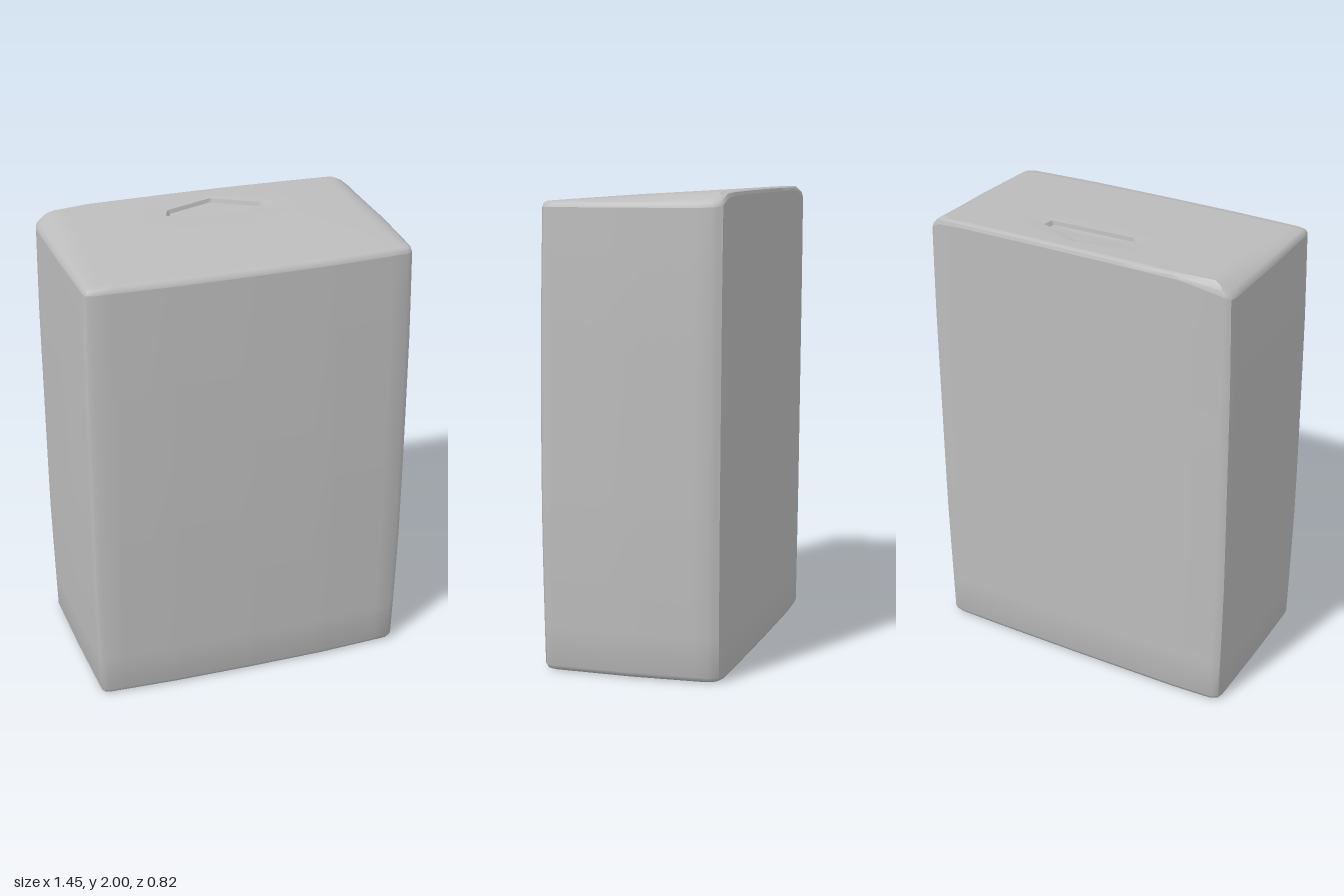
import * as THREE from 'three';
import { toCreasedNormals } from 'three/addons/utils/BufferGeometryUtils.js';

// Plan outline of the carton and of the hand slot, as [x, z]
const OUTLINE = [
  [0.722, 0], [0.712, 0.35], [0.705, 0.375], [0.68, 0.39], [0.35, 0.408], [0, 0.411], [-0.35, 0.408],
  [-0.67, 0.395], [-0.69, 0.385], [-0.698, 0.36], [-0.715, 0], [-0.725, -0.35], [-0.718, -0.385],
  [-0.69, -0.402], [-0.5, -0.411], [0, -0.411], [0.4, -0.407], [0.65, -0.402], [0.69, -0.39], [0.71, -0.35],
];
const SLOT = [[0.24, -0.16], [-0.15, -0.15], [-0.19, -0.2], [-0.17, -0.245], [0.04, -0.31], [0.24, -0.215]];
const CENTRE = [0.03, -0.2];

// Distance from the slot centre to a closed polygon along an angle
function reach(poly, angle) {
  const dx = Math.cos(angle), dz = Math.sin(angle);
  let best = 0;
  poly.forEach(([x1, z1], i) => {
    const [x2, z2] = poly[(i + 1) % poly.length];
    const ex = x2 - x1, ez = z2 - z1, px = x1 - CENTRE[0], pz = z1 - CENTRE[1];
    const det = dx * ez - dz * ex;
    if (Math.abs(det) < 1e-9) return;
    const r = (px * ez - pz * ex) / det, t = (px * dz - pz * dx) / det;
    if (r > 0 && t >= -1e-6 && t <= 1 + 1e-6) best = Math.max(best, r);
  });
  return best;
}

// Lid height: rises towards the back, crowned in x, dropping at the side folds
function lidHeight(x, z) {
  const rise = THREE.MathUtils.clamp((0.4 - z) / 0.8, 0, 1);
  const fold = THREE.MathUtils.smoothstep(0.72 - Math.abs(x), 0, 0.09);
  return 1.95 + rise * (0.008 + 0.042 * fold - 0.012 * x * x);
}

// Joins rings of points, bottom to top, into one skin
function loft(rings) {
  const n = rings[0].length, index = [];
  for (let j = 0; j < rings.length - 1; j++) {
    for (let i = 0; i < n; i++) {
      const a = j * n + i, b = j * n + (i + 1) % n, d = a + n, e = b + n;
      index.push(a, d, b, b, d, e);
    }
  }
  const geo = new THREE.BufferGeometry();
  geo.setAttribute('position', new THREE.Float32BufferAttribute(rings.flat(2), 3));
  geo.setIndex(index);
  return toCreasedNormals(geo, 0.7);
}

export function createModel() {
  const group = new THREE.Group();
  group.name = 'carton';
  const card = new THREE.MeshStandardMaterial({ color: 0xbcbcbc });
  card.name = 'grey card';

  // Angles through every corner plus an even spread
  const angles = [...OUTLINE, ...SLOT].map(([x, z]) => Math.atan2(z - CENTRE[1], x - CENTRE[0]));
  for (let i = 0; i < 48; i++) angles.push(-Math.PI + 0.013 + i * Math.PI / 24);
  angles.sort((a, b) => a - b);
  const plan = angles.map((a) => {
    const at = (r) => [CENTRE[0] + Math.cos(a) * r, CENTRE[1] + Math.sin(a) * r];
    return { edge: at(reach(OUTLINE, a)), slot: at(reach(SLOT, a)) };
  });

  // Wall ring at fraction t of the height, slightly bulged and leaning
  const wall = (t, inset) => plan.map(({ edge: [x, z] }) => {
    const bulge = Math.sin(Math.PI * t);
    const sx = 0.982 + 0.018 * Math.min(1, bulge + 0.5 * t) - inset / 0.72;
    const sz = (z > 0 ? 0.975 + 0.025 * bulge - 0.02 * t : 0.965 + 0.035 * t) - inset / 0.41;
    return [x * sx, t * (lidHeight(x, z) - 0.022), z * sz];
  });
  // Lid ring part way from the top edge to the slot
  const top = wall(1, 0);
  const lid = (t, inset, drop) => plan.map(({ slot }, i) => {
    const ex = top[i][0] * (1 - inset / 0.72), ez = top[i][2] * (1 - inset / 0.41);
    const x = ex + (slot[0] - ex) * t, z = ez + (slot[1] - ez) * t;
    return [x, lidHeight(x, z) - drop, z];
  });
  // Recess ring inside the slot
  const recess = (scale, depth) => plan.map(({ slot: [x, z] }) => [
    CENTRE[0] + (x - CENTRE[0]) * scale, lidHeight(x, z) - depth, CENTRE[1] + (z - CENTRE[1]) * scale,
  ]);

  const floor = plan.map(() => [0, 0, 0]);
  const walls = [floor, wall(0, 0.02), wall(0.004, 0.006), wall(0.012, 0)];
  for (let i = 1; i <= 10; i++) walls.push(wall(i / 10, 0));
  const body = new THREE.Mesh(loft(walls), card);
  body.name = 'body';

  const lidRings = [top, lid(0, 0.005, 0.008), lid(0, 0.018, 0)];
  for (const t of [0.06, 0.12, 0.2, 0.35, 0.5, 0.7, 0.88]) lidRings.push(lid(t, 0.018, 0));
  lidRings.push(lid(1, 0.018, 0.003));
  const lidMesh = new THREE.Mesh(loft(lidRings), card);
  lidMesh.name = 'lid';

  // Shallow hand slot pressed into the lid
  const pole = plan.map(() => [CENTRE[0], lidHeight(...CENTRE) - 0.022, CENTRE[1]]);
  const slot = new THREE.Mesh(loft([recess(1, 0.003), recess(0.95, 0.02), recess(0.5, 0.022), pole]), card);
  slot.name = 'handSlot';

  group.add(body, lidMesh, slot);
  return group;
}
